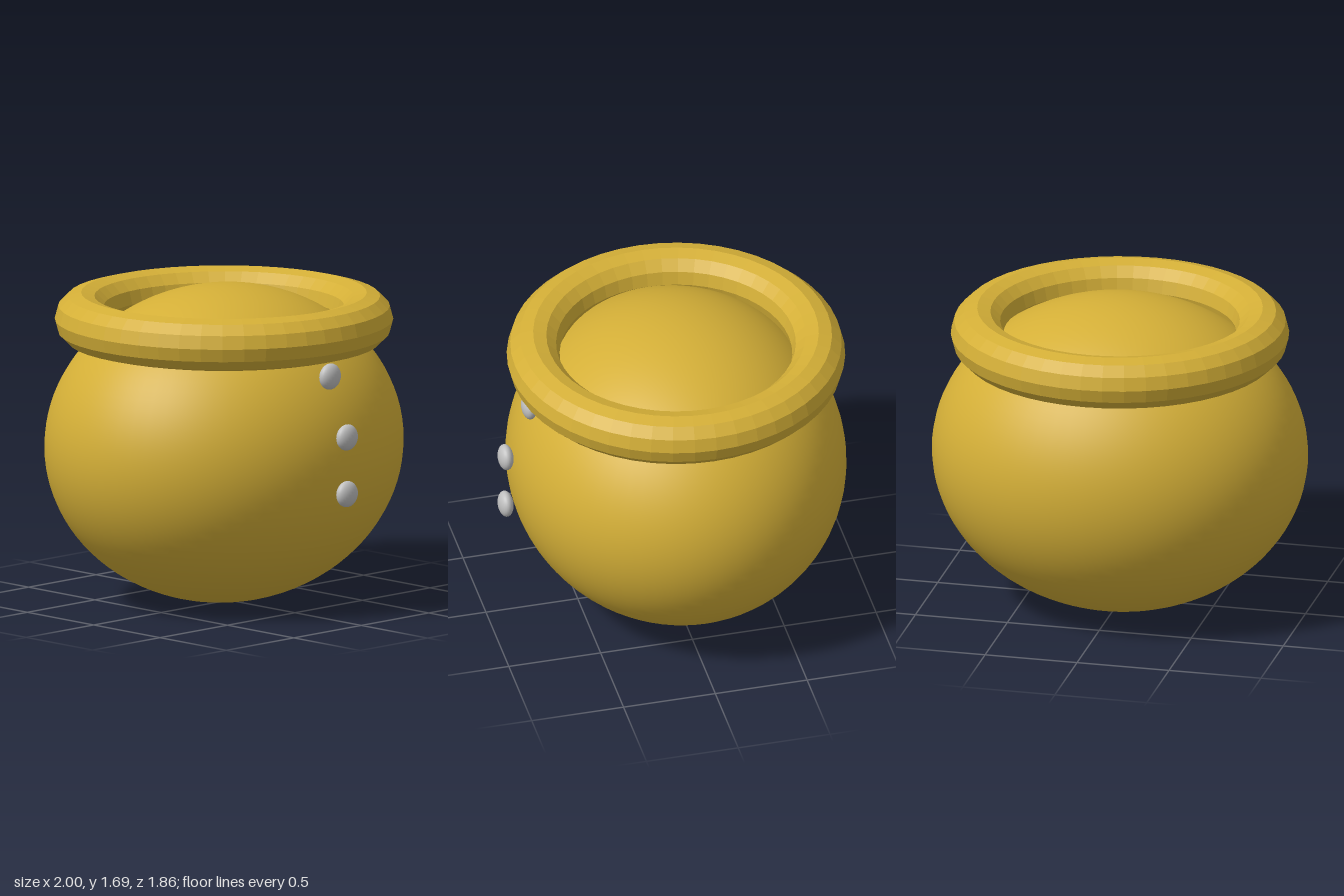
import * as THREE from 'three';

export function createModel() {
  const model = new THREE.Group();
  model.name = 'pot';

  const gold = new THREE.MeshStandardMaterial({ color: 0xd4af37 });
  gold.name = 'gold';
  const facetedGold = gold; // one gold for body and rim
  const silver = new THREE.MeshStandardMaterial({ color: 0xc0c0c0 });
  silver.name = 'silver';

  const add = (name, geometry, material, x, y, z) => {
    const mesh = new THREE.Mesh(geometry, material);
    mesh.name = name;
    mesh.position.set(x, y, z);
    model.add(mesh);
    return mesh;
  };

  // Round body, slightly squashed
  const centreZ = -0.035;
  add('body', new THREE.SphereGeometry(1, 64, 48).scale(1, 0.845, 0.895), gold, 0, 0.848, centreZ);

  // Faceted ring around the top: unshared corners give flat facets
  const ring = new THREE.TorusGeometry(0.755, 0.14, 12, 48).rotateX(Math.PI / 2).toNonIndexed();
  ring.computeVertexNormals();
  add('rim', ring, facetedGold, 0, 1.515, centreZ);

  // Three flattened buttons down the front
  const buttonShape = new THREE.SphereGeometry(0.07, 24, 16).scale(1, 1, 0.58);
  [[1.31, 0.765], [1.0, 0.893], [0.695, 0.893]].forEach(([y, z], i) =>
    add('button' + (i + 1), buttonShape, silver, 0, y, z));

  return model;
}
